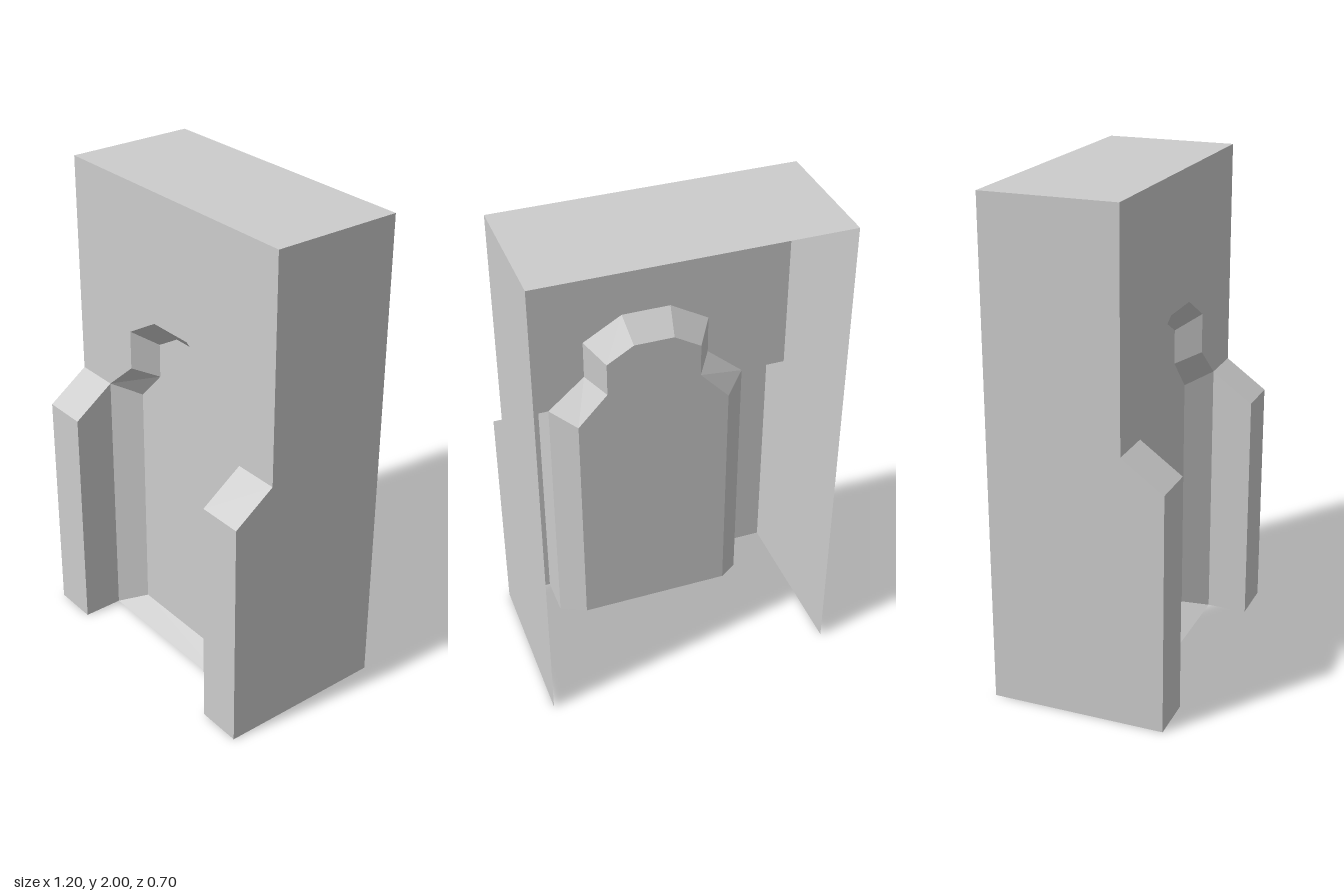
import * as THREE from 'three';

const stone = new THREE.MeshStandardMaterial({ color: 0xcccccc, side: THREE.DoubleSide });
stone.name = 'pale grey stone';

// Main dimensions
const W = 0.6, H = 2, BACK = -0.35, WALL = 0.183, FRONT = 0.35, NICHE = 0.09;
const JAMB = 0.412, SHOULDER = 1.09, PIER = 0.97;

// Right half of the niche outline, bottom to top: rim on the wall and inset panel
const rimHalf = [[JAMB, 0], [JAMB, SHOULDER], [0.26, 1.22], [0.26, 1.38], [0.1, 1.473]];
const panelHalf = [[0.318, 0.045], [0.318, 1.048], [0.195, 1.18], [0.195, 1.32], [0.083, 1.386]];

// Full outline running up the -x side and down the +x side
const mirrored = half => [...half.map(([x, y]) => [-x, y]), ...[...half].reverse()];
const polygon = pts => new THREE.ShapeGeometry(new THREE.Shape(pts.map(([x, y]) => new THREE.Vector2(x, y))));

// Flat-faced strip between two matching rows of points
function strip(a, b) {
  const pos = [];
  for (let i = 0; i + 1 < a.length; i++) {
    pos.push(...a[i], ...b[i], ...b[i + 1], ...a[i], ...b[i + 1], ...a[i + 1]);
  }
  const g = new THREE.BufferGeometry();
  g.setAttribute('position', new THREE.Float32BufferAttribute(pos, 3));
  g.computeVertexNormals();
  return g;
}

export function createModel() {
  const model = new THREE.Group();
  model.name = 'archedNiche';
  const add = (name, geometry) => {
    const mesh = new THREE.Mesh(geometry, stone);
    mesh.name = name;
    model.add(mesh);
    return mesh;
  };

  // Polygon drawn in (z, y), facing +x or -x at the given x
  const sideFace = (name, pts, x, dir) => {
    const g = polygon(pts.map(([z, y]) => [-dir * z, y]));
    add(name, g.rotateY(dir * Math.PI / 2).translate(x, 0, 0));
  };

  const rim = mirrored(rimHalf), panel = mirrored(panelHalf);

  // Upper wall, cut out around the arch
  add('frontWall', polygon([[-W, H], [-W, SHOULDER], ...rim.slice(1, -1), [W, SHOULDER], [W, H]])
    .translate(0, 0, WALL));

  // Recessed panel and the bevel that leads to it, sill included
  add('nichePanel', polygon(panel).translate(0, 0, NICHE));
  const loop = (pts, z) => [...pts, pts[0]].map(([x, y]) => [x, y, z]);
  add('nicheBevel', strip(loop(rim, WALL), loop(panel, NICHE)));

  // Roof slab
  add('top', strip([[-W, H, WALL], [-W, H, BACK]], [[W, H, WALL], [W, H, BACK]]));

  // Side walls and hollow buttress piers; back and underside stay open
  const pierProfile = [[0, FRONT], [PIER, FRONT], [SHOULDER, WALL]];
  for (const s of [1, -1]) {
    const side = s > 0 ? 'left' : 'right';
    sideFace(side + 'Wall',
      [[BACK, 0], [FRONT, 0], [FRONT, PIER], [WALL, SHOULDER], [WALL, H], [BACK, H]], s * W, s);
    sideFace(side + 'PierCheek',
      [[WALL, 0], [FRONT, 0], [FRONT, PIER], [WALL, SHOULDER]], s * JAMB, -s);
    const [x0, x1] = s > 0 ? [JAMB, W] : [-W, -JAMB];
    add(side + 'PierFront', strip(
      pierProfile.map(([y, z]) => [x0, y, z]),
      pierProfile.map(([y, z]) => [x1, y, z])));
  }
  return model;
}
